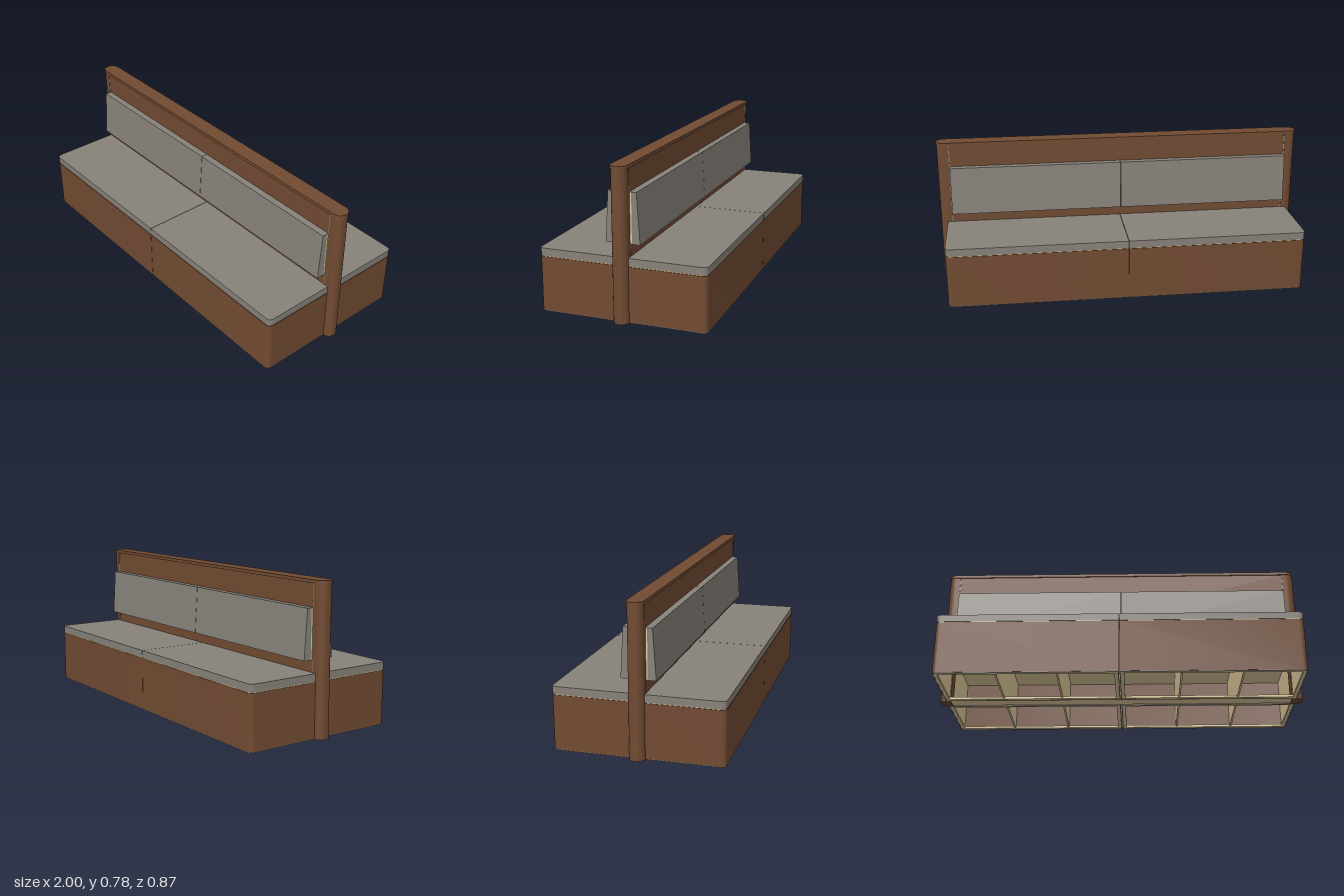
import * as THREE from 'three';
import { toCreasedNormals } from 'three/addons/utils/BufferGeometryUtils.js';

const brown = new THREE.MeshStandardMaterial({ color: 0x714b32 });
brown.name = 'brown laminate';
const grey = new THREE.MeshStandardMaterial({ color: 0x87827a });
grey.name = 'grey upholstery';
const beige = new THREE.MeshStandardMaterial({ color: 0xdbc799 });
beige.name = 'beige plywood';

const X1 = 0.96, Z0 = 0.04, Z1 = 0.437; // seat module extents

function add(parent, name, geo, mat) {
  const mesh = new THREE.Mesh(geo, mat);
  mesh.name = name;
  parent.add(mesh);
  return mesh;
}

function box(parent, name, mat, x0, x1, y0, y1, z0, z1) {
  const m = add(parent, name, new THREE.BoxGeometry(Math.abs(x1 - x0), y1 - y0, z1 - z0), mat);
  m.position.set((x0 + x1) / 2, (y0 + y1) / 2, (z0 + z1) / 2);
}

// Upright extrusion of a plan drawn in (x, -z)
function plan(shape, y0, y1) {
  const geo = new THREE.ExtrudeGeometry(shape, { depth: y1 - y0, bevelEnabled: false, curveSegments: 8 });
  geo.rotateX(-Math.PI / 2).translate(0, y0, 0);
  return toCreasedNormals(geo, 0.6);
}

// Half-bench outline with one rounded outer front corner, always counter-clockwise
function outline(s, inset, r) {
  const a = s * (0.001 + inset), b = s * (X1 - inset), n = -(Z0 + inset), f = -(Z1 - inset);
  const path = new THREE.Path();
  path.moveTo(a, n);
  path.lineTo(b, n);
  path.lineTo(b, f + r);
  path.quadraticCurveTo(b, f, b - s * r, f);
  path.lineTo(a, f);
  const points = path.getPoints(8);
  if (s > 0) points.reverse();
  return new THREE.Shape(points);
}

function ring(s, inset, wall) {
  const shape = outline(s, inset, 0.028);
  shape.holes.push(outline(s, inset + wall, 0.015));
  return shape;
}

// Front and end wall of the base in one bent strip, open towards the centre
function shellPlan(s) {
  const r = 0.028, w = 0.01, a = s * 0.001, b = s * X1, bi = s * (X1 - w), f = -Z1;
  const shape = new THREE.Shape();
  shape.moveTo(b, -Z0);
  shape.lineTo(b, f + r);
  shape.quadraticCurveTo(b, f, b - s * r, f);
  shape.lineTo(a, f);
  shape.lineTo(a, f + w);
  shape.lineTo(b - s * r, f + w);
  shape.quadraticCurveTo(bi, f + w, bi, f + r);
  shape.lineTo(bi, -Z0);
  shape.closePath();
  return shape;
}

function seatModule(s) {
  const g = new THREE.Group();
  g.name = 'seatModule';
  add(g, 'baseShell', plan(shellPlan(s), 0.004, 0.287), brown);
  add(g, 'floorGlide', plan(ring(s, 0.001, 0.006), 0, 0.004), grey);
  add(g, 'bottomRim', plan(ring(s, 0.006, 0.018), 0.001, 0.014), beige);
  add(g, 'seatDeck', plan(outline(s, 0.003, 0.026), 0.281, 0.292), beige);
  add(g, 'seatCushion', plan(outline(s, 0, 0.028), 0.291, 0.33), grey);
  // compartment dividers, continuing under the centre wall
  for (const x of [0.007, 0.32, 0.638, 0.944])
    box(g, 'divider', beige, s * (x - 0.005), s * (x + 0.005), 0.006, 0.283, 0, Z1 - 0.01);
  return g;
}

function backrest(s) {
  const g = new THREE.Group();
  g.name = 'backrest';
  const a = s > 0 ? 0.001 : -0.93, length = 0.929;
  // tapered cushion section in (z, y) with a lip over the board, swept along x
  const section = new THREE.Shape();
  section.moveTo(0.047, 0.391);
  section.lineTo(0.0893, 0.391);
  section.lineTo(0.0733, 0.649);
  section.lineTo(0.036, 0.649);
  section.lineTo(0.036, 0.646);
  section.lineTo(0.047, 0.646);
  section.closePath();
  const geo = new THREE.ExtrudeGeometry(section, { depth: length, bevelEnabled: false });
  geo.rotateY(-Math.PI / 2).translate(a + length, 0, 0);
  add(g, 'backCushion', geo, grey);
  box(g, 'backBoard', beige, a, a + length, 0.392, 0.646, 0.036, 0.047);
  return g;
}

// Bar plan with half-round ends
function stadium(half, r) {
  const s = new THREE.Shape();
  s.moveTo(-half + r, -r);
  s.lineTo(half - r, -r);
  s.absarc(half - r, 0, r, -Math.PI / 2, Math.PI / 2, false);
  s.lineTo(-half + r, r);
  s.absarc(-half + r, 0, r, Math.PI / 2, Math.PI * 1.5, false);
  return s;
}

// Post with a half-round outer edge
function endPost(s) {
  const shape = new THREE.Shape();
  shape.moveTo(s * 0.935, -0.04);
  for (let i = 0; i <= 16; i++) {
    const t = -Math.PI / 2 + (Math.PI * i) / 16;
    shape.lineTo(s * (0.958 + 0.04 * Math.cos(t)), 0.04 * Math.sin(t));
  }
  shape.lineTo(s * 0.935, 0.04);
  shape.closePath();
  return plan(shape, 0, 0.768);
}

export function createModel() {
  const model = new THREE.Group();
  model.name = 'doubleSidedBench';

  // central divider wall with end posts, cap rail and floor rail
  box(model, 'centrePanel', brown, -0.936, 0.936, 0.281, 0.768, -0.037, 0.037);
  box(model, 'floorRail', beige, -0.936, 0.936, 0.003, 0.014, -0.037, 0.037);
  add(model, 'capRail', plan(stadium(1, 0.0435), 0.767, 0.784), brown);
  for (const s of [-1, 1]) {
    add(model, 'endPost', endPost(s), brown);
    box(model, 'postTrim', grey, s * 0.93, s * 0.935, 0.33, 0.767, -0.0385, 0.0385);
  }

  // matching seating on the front and back
  for (const turn of [0, Math.PI]) {
    const side = new THREE.Group();
    side.name = turn ? 'backSeating' : 'frontSeating';
    for (const s of [-1, 1]) side.add(seatModule(s), backrest(s));
    side.rotation.y = turn;
    model.add(side);
  }
  return model;
}
